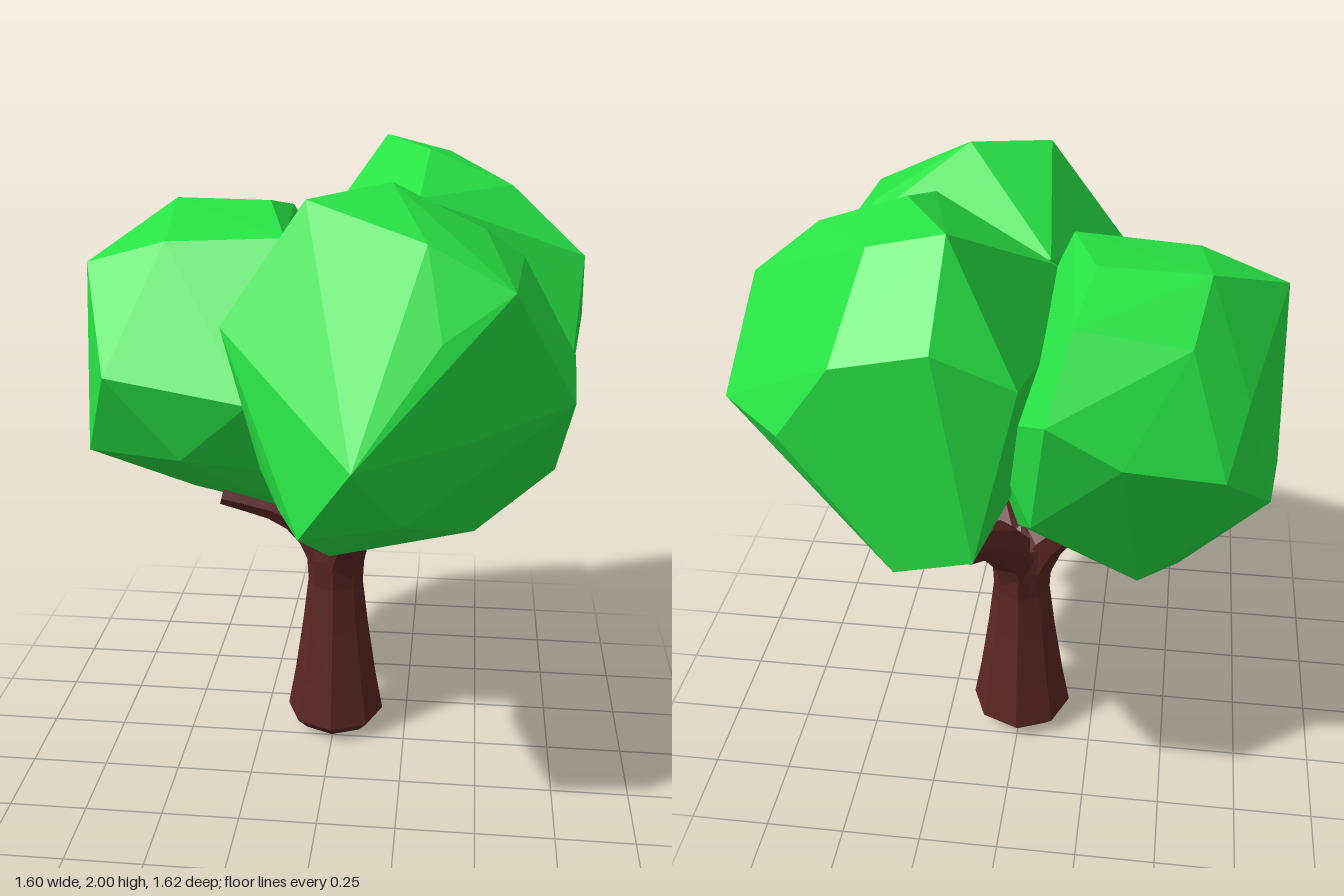
import * as THREE from 'three';
import { ConvexGeometry } from 'three/addons/geometries/ConvexGeometry.js';

const bark = new THREE.MeshStandardMaterial({ color: 0x5a2624, flatShading: true });
const leaf = new THREE.MeshStandardMaterial({ color: 0x27e244, flatShading: true });
const TRUNK_Z = -0.11;

function addMesh(group, name, geometry, material) {
  const mesh = new THREE.Mesh(geometry, material);
  mesh.name = name;
  group.add(mesh);
  return mesh;
}

// Faceted leaf clump: hull around its corner points, listed ring by ring
function clump(rings) {
  return new ConvexGeometry(rings.flat().map((p) => new THREE.Vector3(...p)));
}

// Tapered tube along a smooth curve
function branch(points, r0, r1) {
  const curve = new THREE.CatmullRomCurve3(points.map((p) => new THREE.Vector3(...p)));
  const steps = 6, sides = 7;
  const geo = new THREE.TubeGeometry(curve, steps, 1, sides, false);
  const pos = geo.attributes.position;
  const v = new THREE.Vector3();
  for (let i = 0; i <= steps; i++) {
    const c = curve.getPointAt(i / steps);
    const r = THREE.MathUtils.lerp(r0, r1, i / steps);
    for (let j = 0; j <= sides; j++) {
      const k = i * (sides + 1) + j;
      v.fromBufferAttribute(pos, k).sub(c).multiplyScalar(r).add(c);
      pos.setXYZ(k, v.x, v.y, v.z);
    }
  }
  geo.computeVertexNormals();
  return geo;
}

export function createModel() {
  const tree = new THREE.Group();
  tree.name = 'tree';

  // Trunk with flared, bevelled foot
  const profile = [[0, 0], [0.13, 0.015], [0.168, 0.055], [0.142, 0.2], [0.113, 0.4],
    [0.094, 0.56], [0.099, 0.66], [0.09, 0.75], [0, 0.81]];
  const trunk = addMesh(tree, 'trunk',
    new THREE.LatheGeometry(profile.map((p) => new THREE.Vector2(...p)), 8), bark);
  trunk.position.z = TRUNK_Z;

  // Three branches, one into each clump
  const branches = {
    rightBranch: [[0, 0.6, TRUNK_Z], [-0.06, 0.73, TRUNK_Z], [-0.16, 0.82, -0.1], [-0.38, 0.875, -0.08]],
    frontBranch: [[0, 0.6, TRUNK_Z], [0.04, 0.75, -0.06], [0.09, 0.86, 0.04], [0.14, 0.99, 0.16]],
    backBranch: [[0, 0.6, TRUNK_Z], [0.03, 0.74, -0.16], [0.1, 0.87, -0.3], [0.14, 0.96, -0.47], [0.16, 1.1, -0.6]],
  };
  for (const [name, pts] of Object.entries(branches)) {
    addMesh(tree, name, branch(pts, 0.09, name === 'frontBranch' ? 0.06 : 0.035), bark);
  }

  // Clump on the right side, lowest
  addMesh(tree, 'rightLeaves', clump([
    [[-0.54, 1.82, -0.32], [-0.23, 1.82, -0.3], [-0.5, 1.71, -0.54], [-0.19, 1.76, -0.56]],
    [[-0.77, 1.67, -0.02], [-0.51, 1.75, 0.03], [-0.14, 1.77, 0.04], [-0.66, 1.54, -0.5]],
    [[-0.67, 1.38, 0.25], [-0.22, 1.33, 0.32], [0.04, 1.35, 0.12], [0.07, 1.4, -0.45],
      [-0.14, 1.57, -0.74], [-0.34, 1.45, -0.73], [-0.61, 1.38, -0.65], [-0.76, 1.4, -0.26]],
    [[-0.8, 1.05, 0], [-0.45, 1.11, 0.22], [-0.18, 1.08, 0.2], [-0.09, 1.17, -0.62], [-0.75, 1.19, -0.44]],
    [[-0.51, 0.82, -0.27], [-0.1, 0.85, -0.02], [0, 0.89, -0.04], [-0.39, 0.92, -0.5], [-0.02, 0.98, -0.35]],
  ]), leaf);

  // Clump at the front, with a pointed nose
  addMesh(tree, 'frontLeaves', clump([
    [[-0.04, 1.94, 0.33], [0.19, 1.97, 0.2], [0.3, 1.85, 0.45], [0.46, 1.82, 0.1]],
    [[0.54, 1.73, 0.48], [0.35, 1.62, 0.6], [0.58, 1.71, -0.06], [-0.08, 1.72, -0.05],
      [-0.28, 1.59, 0.39], [-0.27, 1.47, 0.2]],
    [[0.13, 1.33, 0.81], [0.43, 1.34, 0.58], [0.73, 1.38, 0.34], [0.75, 1.42, 0], [0.2, 1.35, -0.22]],
    [[-0.02, 1.1, 0.73], [0.26, 1.1, 0.62], [0.7, 1.09, 0.12], [-0.09, 1.13, 0.6],
      [-0.18, 1.15, 0.35], [-0.12, 1.15, 0]],
    [[0.04, 0.93, 0.47], [0.46, 0.93, 0.25], [0.22, 0.91, 0.25], [0.06, 0.94, 0.08], [0.4, 0.95, 0]],
  ]), leaf);

  // Clump at the back left, tallest
  addMesh(tree, 'backLeaves', clump([
    [[0.13, 2, -0.55], [0.28, 1.99, -0.29], [0.34, 1.95, -0.54], [0.54, 1.89, -0.25], [0.26, 1.89, 0]],
    [[0.77, 1.69, -0.17], [0.14, 1.78, -0.78], [0.4, 1.72, -0.77], [-0.07, 1.66, -0.72],
      [-0.13, 1.62, -0.36], [-0.1, 1.7, -0.05]],
    [[0.8, 1.43, -0.45], [0.57, 1.48, -0.72], [0.45, 1.45, 0.06]],
    [[0.73, 1.22, 0.02], [0.04, 1.18, -0.81], [0.72, 1.1, -0.22], [0.27, 1.09, -0.76], [-0.08, 1.2, -0.2]],
    [[0.33, 1.04, -0.59], [0.1, 0.95, -0.37], [0.3, 0.96, -0.35], [0.5, 1.04, -0.06], [0.2, 0.99, -0.2]],
  ]), leaf);

  return tree;
}
